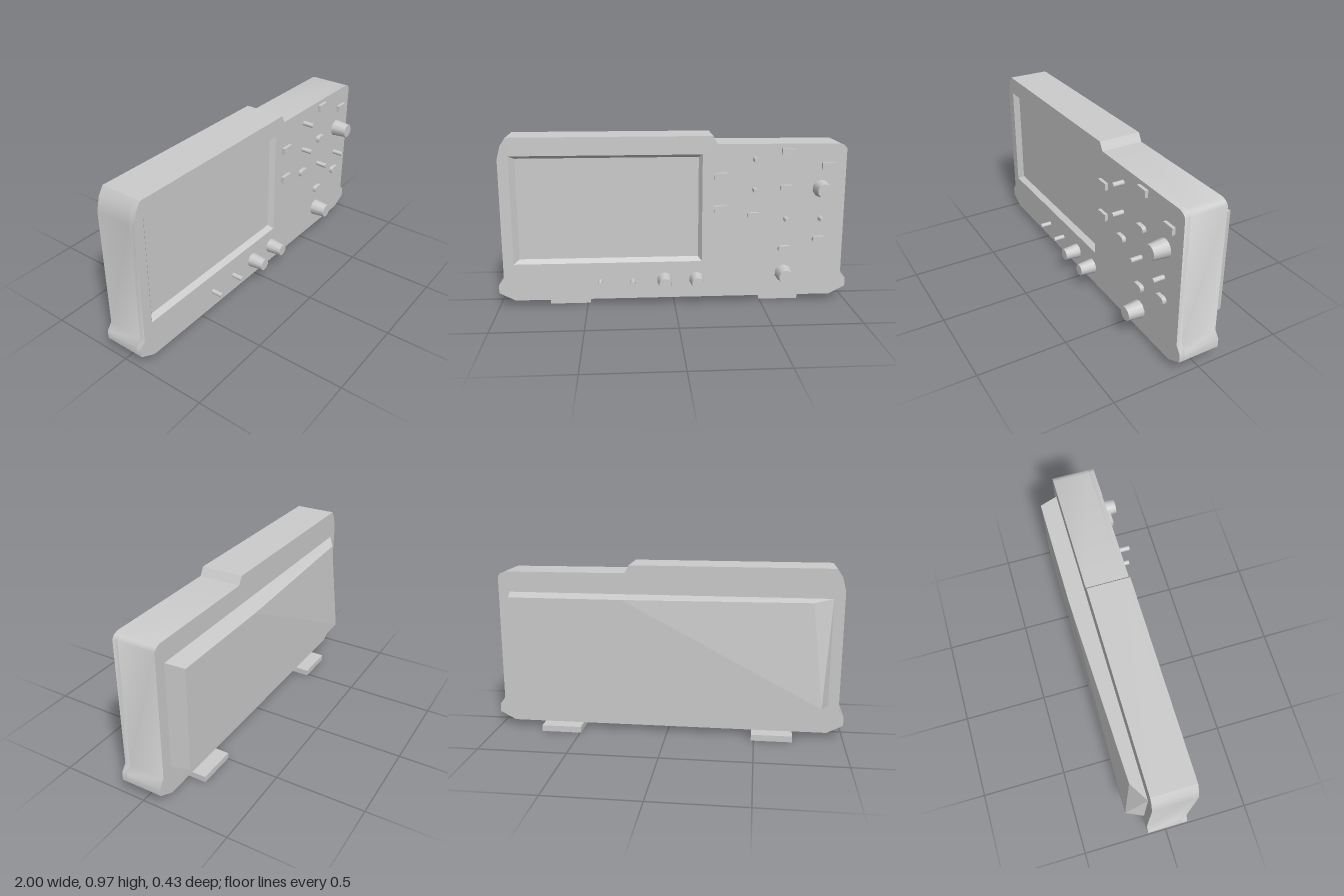
import * as THREE from 'three';
import { toCreasedNormals } from 'three/addons/utils/BufferGeometryUtils.js';
import { ConvexGeometry } from 'three/addons/geometries/ConvexGeometry.js';

const FRONT = 0.125, FLOOR = 0.095, BACK = -0.115;

export function createModel() {
  const model = new THREE.Group();
  const grey = new THREE.MeshStandardMaterial({ color: 0xcccccc });

  const add = (name, geometry, x = 0, y = 0, z = 0) => {
    const mesh = new THREE.Mesh(geometry, grey);
    mesh.name = name;
    mesh.position.set(x, y, z);
    model.add(mesh);
    return mesh;
  };
  const extrude = (shape, depth) =>
    new THREE.ExtrudeGeometry(shape, { depth, bevelEnabled: false, curveSegments: 6 });
  const polygon = (points) => new THREE.Shape(points.map(([x, y]) => new THREE.Vector2(x, y)));

  // Case outline: flared base, raised hood over the screen, clipped corners
  const outline = [
    [-0.91, 0.035], [0.91, 0.035], [1, 0.082], [1, 0.13], [0.97, 0.17],
    [0.97, 0.895], [0.955, 0.912], [0.93, 0.922], [0.24, 0.925], [0.215, 0.97],
    [-0.92, 0.97], [-0.95, 0.925], [-0.97, 0.85], [-0.97, 0.17], [-1, 0.13], [-1, 0.082],
  ];
  add('case', toCreasedNormals(extrude(polygon(outline), FLOOR - BACK), 0.75), 0, 0, BACK);

  // Front panel with the screen opening; the rear edge of the opening is drawn in to slope its walls
  const opening = { left: -0.91, right: 0.157, bottom: 0.25, top: 0.868 };
  const screen = { left: -0.88, right: 0.138, bottom: 0.272, top: 0.85 };
  const panel = polygon(outline);
  panel.holes.push(polygon([
    [opening.left, opening.bottom], [opening.left, opening.top],
    [opening.right, opening.top], [opening.right, opening.bottom],
  ]));
  const panelGeometry = extrude(panel, FRONT - FLOOR);
  const pos = panelGeometry.attributes.position;
  const near = (a, b) => Math.abs(a - b) < 1e-4;
  for (let i = 0; i < pos.count; i++) {
    const x = pos.getX(i), y = pos.getY(i);
    const onX = near(x, opening.left) || near(x, opening.right);
    const onY = near(y, opening.bottom) || near(y, opening.top);
    if (pos.getZ(i) < 0.001 && onX && onY) {
      pos.setX(i, THREE.MathUtils.clamp(x, screen.left, screen.right));
      pos.setY(i, THREE.MathUtils.clamp(y, screen.bottom, screen.top));
    }
  }
  add('frontPanel', toCreasedNormals(panelGeometry, 0.75), 0, 0, FLOOR);

  // Tapered rear housing with one clipped upper corner
  add('rearHousing', new ConvexGeometry([
    [-0.91, 0.2, BACK], [0.905, 0.2, BACK], [0.905, 0.807, BACK], [-0.91, 0.807, BACK],
    [-0.865, 0.208, -0.215], [0.88, 0.208, -0.215], [0.88, 0.793, -0.215],
    [0.24, 0.793, -0.215], [-0.8, 0.793, -0.18],
  ].map((p) => new THREE.Vector3(...p))));

  // Feet
  for (const [name, x] of [['rightFoot', -0.6], ['leftFoot', 0.61]]) {
    add(name, new THREE.BoxGeometry(0.23, 0.035, 0.29), x, 0.0175, -0.05);
  }

  // Round controls point out of the panel along +z
  const round = (name, x, y, tip, base, length, sides) => {
    const geometry = new THREE.CylinderGeometry(tip, base, length, sides).rotateX(Math.PI / 2);
    add(name, geometry, x, y, FRONT + length / 2);
  };

  // Tapered knobs
  for (const [x, y, r] of [[-0.057, 0.143, 0.043], [0.128, 0.143, 0.043], [0.632, 0.17, 0.05], [0.832, 0.667, 0.05]]) {
    round('knob', x, y, r - 0.009, r, 0.09, 10);
  }

  // Small pins
  for (const [x, y] of [[-0.425, 0.14], [-0.24, 0.14], [0.45, 0.84], [0.45, 0.667], [0.633, 0.495], [0.832, 0.495]]) {
    round('pin', x, y, 0.0137, 0.0137, 0.065, 12);
  }

  // Rectangular buttons
  for (const [x, y] of [[0.262, 0.744], [0.262, 0.556], [0.637, 0.88], [0.867, 0.795]]) {
    add('squareButton', new THREE.BoxGeometry(0.074, 0.04, 0.018), x, y, FRONT + 0.009);
  }

  // Pill-shaped buttons
  const pill = new THREE.Shape();
  pill.absarc(0.018, 0, 0.02, -Math.PI / 2, Math.PI / 2);
  pill.absarc(-0.018, 0, 0.02, Math.PI / 2, Math.PI * 1.5);
  const pillGeometry = toCreasedNormals(extrude(pill, 0.023), 0.75);
  for (const [x, y] of [[0.633, 0.672], [0.45, 0.515], [0.83, 0.37], [0.633, 0.316]]) {
    add('pillButton', pillGeometry, x, y, FRONT);
  }

  return model;
}
